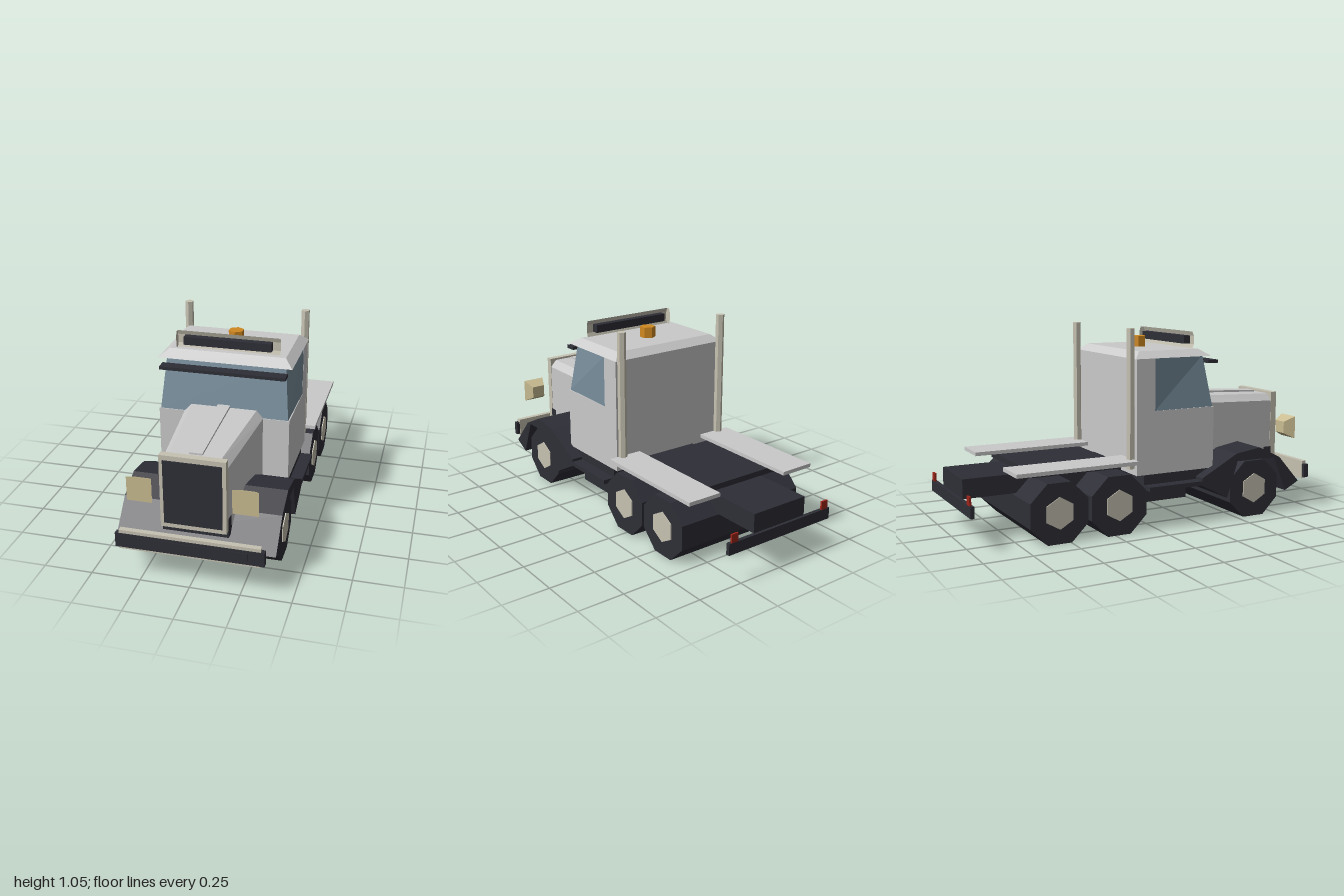
import * as THREE from 'three';

export function createModel() {
  const truck = new THREE.Group();
  const mat = (name, color) => {
    const m = new THREE.MeshStandardMaterial({ color, flatShading: true });
    m.name = name;
    return m;
  };
  const paint = mat('grey paint', 0xcacaca);
  const trim = mat('pale trim', 0xc6c2b2);
  const dark = mat('dark rubber and steel', 0x2e2e37);
  const glass = mat('window glass', 0x788e9c);
  const lens = mat('headlight cream', 0xcabd92);
  const amber = mat('beacon amber', 0xd08820);
  const red = mat('tail light red', 0xa0251a);

  const add = (name, geo, m) => {
    const mesh = new THREE.Mesh(geo, m);
    mesh.name = name;
    truck.add(mesh);
    return mesh;
  };
  // Box from its extents on each axis
  const box = (name, m, [x0, x1], [y0, y1], [z0, z1]) =>
    add(name, new THREE.BoxGeometry(x1 - x0, y1 - y0, z1 - z0)
      .translate((x0 + x1) / 2, (y0 + y1) / 2, (z0 + z1) / 2), m);
  const wide = (name, m, w, y, z) => box(name, m, [-w, w], y, z);
  // Pair of boxes mirrored across x
  const pair = (name, m, [x0, x1], y, z) => {
    box('left ' + name, m, [x0, x1], y, z);
    box('right ' + name, m, [-x1, -x0], y, z);
  };
  // Closed solid between two rings, ordered counterclockwise seen from the b end
  const loft = (name, m, a, b) => {
    const p = [], n = a.length;
    for (let i = 0; i < n; i++) {
      const j = (i + 1) % n;
      p.push(...a[i], ...a[j], ...b[j], ...a[i], ...b[j], ...b[i]);
      if (i > 0 && j > 0) p.push(...b[0], ...b[i], ...b[j], ...a[0], ...a[j], ...a[i]);
    }
    const g = new THREE.BufferGeometry();
    g.setAttribute('position', new THREE.Float32BufferAttribute(p, 3));
    g.computeVertexNormals();
    return add(name, g, m);
  };
  const rectY = (y, wBack, wFront, zBack, zFront) =>
    [[wFront, y, zFront], [wBack, y, zBack], [-wBack, y, zBack], [-wFront, y, zFront]];
  const rectZ = (z, x, y, w, h) =>
    [[x - w, y - h, z], [x + w, y - h, z], [x + w, y + h, z], [x - w, y + h, z]];

  // Chassis and rear deck
  wide('chassis', dark, 0.165, [0.23, 0.33], [-0.985, 0.88]);
  wide('deck plate', dark, 0.21, [0.33, 0.36], [-0.67, -0.18]);
  pair('deck support', dark, [0.21, 0.3], [0.33, 0.36], [-0.67, -0.18]);
  pair('rear fender board', paint, [0.21, 0.4], [0.36, 0.38], [-0.79, -0.125]);
  wide('rear bumper', dark, 0.33, [0.17, 0.23], [-1, -0.98]);
  pair('tail light', red, [0.275, 0.315], [0.23, 0.275], [-1, -0.99]);

  // Wide octagonal wheel rollers with hexagonal hubs
  for (const z of [0.607, -0.228, -0.56]) {
    add('wheel', new THREE.CylinderGeometry(0.169, 0.169, 0.766, 8)
      .rotateY(Math.PI / 8).rotateZ(Math.PI / 2).translate(0, 0.156, z), dark);
    add('hubs', new THREE.CylinderGeometry(0.083, 0.083, 0.776, 6)
      .rotateY(Math.PI / 6).rotateZ(Math.PI / 2).translate(0, 0.158, z), trim);
  }

  // Front fender arch, profile in (z, y)
  const arch = new THREE.Shape([
    [0.9, 0.17], [0.765, 0.32], [0.63, 0.385], [0.48, 0.365], [0.26, 0.25], [0.26, 0.21],
    [0.42, 0.125], [0.485, 0.322], [0.73, 0.322], [0.81, 0.125],
  ].map(q => new THREE.Vector2(...q)));
  add('front fender', new THREE.ExtrudeGeometry(arch, { depth: 0.8, bevelEnabled: false })
    .translate(0, 0, -0.4).rotateY(-Math.PI / 2), dark);
  pair('running board', dark, [0.165, 0.4], [0.212, 0.235], [-0.06, 0.27]);
  pair('step box', dark, [0.165, 0.375], [0.155, 0.212], [-0.07, 0.17]);
  pair('sill', dark, [0.165, 0.335], [0.23, 0.295], [-0.06, 0.36]);

  // Tapered hood with chamfered shoulders and a centre ridge
  const hoodRing = (z, w, wTop, shoulder, top) => [
    [-w, 0.27, z], [w, 0.27, z], [w, shoulder, z], [wTop, top, z], [-wTop, top, z], [-w, shoulder, z]];
  loft('hood', paint, hoodRing(0.34, 0.21, 0.173, 0.625, 0.662), hoodRing(0.885, 0.16, 0.125, 0.6, 0.638));
  loft('hood ridge', paint, rectZ(0.34, 0, 0.655, 0.033, 0.019), rectZ(0.85, 0, 0.63, 0.033, 0.019));

  // Grille
  wide('grille surround', trim, 0.163, [0.267, 0.65], [0.875, 0.912]);
  wide('grille panel', dark, 0.144, [0.292, 0.625], [0.912, 0.918]);

  // Front bumper
  wide('bumper ends', dark, 0.367, [0.175, 0.25], [0.97, 0.998]);
  wide('front bumper', trim, 0.348, [0.165, 0.267], [0.967, 0.995]);
  wide('bumper slot', dark, 0.285, [0.195, 0.237], [0.995, 1]);

  // Headlights flare toward the front
  for (const s of [1, -1])
    loft(s > 0 ? 'left headlight' : 'right headlight', lens,
      rectZ(0.87, s * 0.259, 0.462, 0.038, 0.033), rectZ(0.93, s * 0.259, 0.462, 0.063, 0.063));

  // Cab
  wide('cab lower body', paint, 0.345, [0.29, 0.625], [-0.108, 0.36]);
  wide('cab rear body', paint, 0.345, [0.625, 0.9], [-0.108, 0]);
  loft('windows', glass, rectY(0.625, 0.344, 0.338, 0, 0.355), rectY(0.9, 0.344, 0.312, 0, 0.305));
  loft('roof', paint, rectY(0.898, 0.35, 0.35, -0.116, 0.338), rectY(0.934, 0.305, 0.305, -0.075, 0.28));
  wide('sun visor', dark, 0.327, [0.856, 0.873], [0.335, 0.395]);

  // Roof light bar and beacon
  const barRing = x => [
    [0.93, 0.25], [0.955, 0.242], [1.0, 0.242], [1.023, 0.25],
    [1.023, 0.268], [1.0, 0.277], [0.955, 0.277], [0.93, 0.268]].map(([y, z]) => [x, y, z]).reverse();
  loft('roof light bar', trim, barRing(-0.27), barRing(0.27));
  wide('light bar panel', dark, 0.23, [0.957, 1], [0.239, 0.28]);
  add('beacon', new THREE.CylinderGeometry(0.042, 0.042, 0.06, 6).translate(0, 0.962, 0.088), amber);

  // Exhaust stacks
  for (const s of [1, -1])
    add(s > 0 ? 'left exhaust' : 'right exhaust', new THREE.CylinderGeometry(0.023, 0.023, 0.725, 6)
      .translate(s * 0.325, 0.692, -0.135), trim);

  return truck;
}
